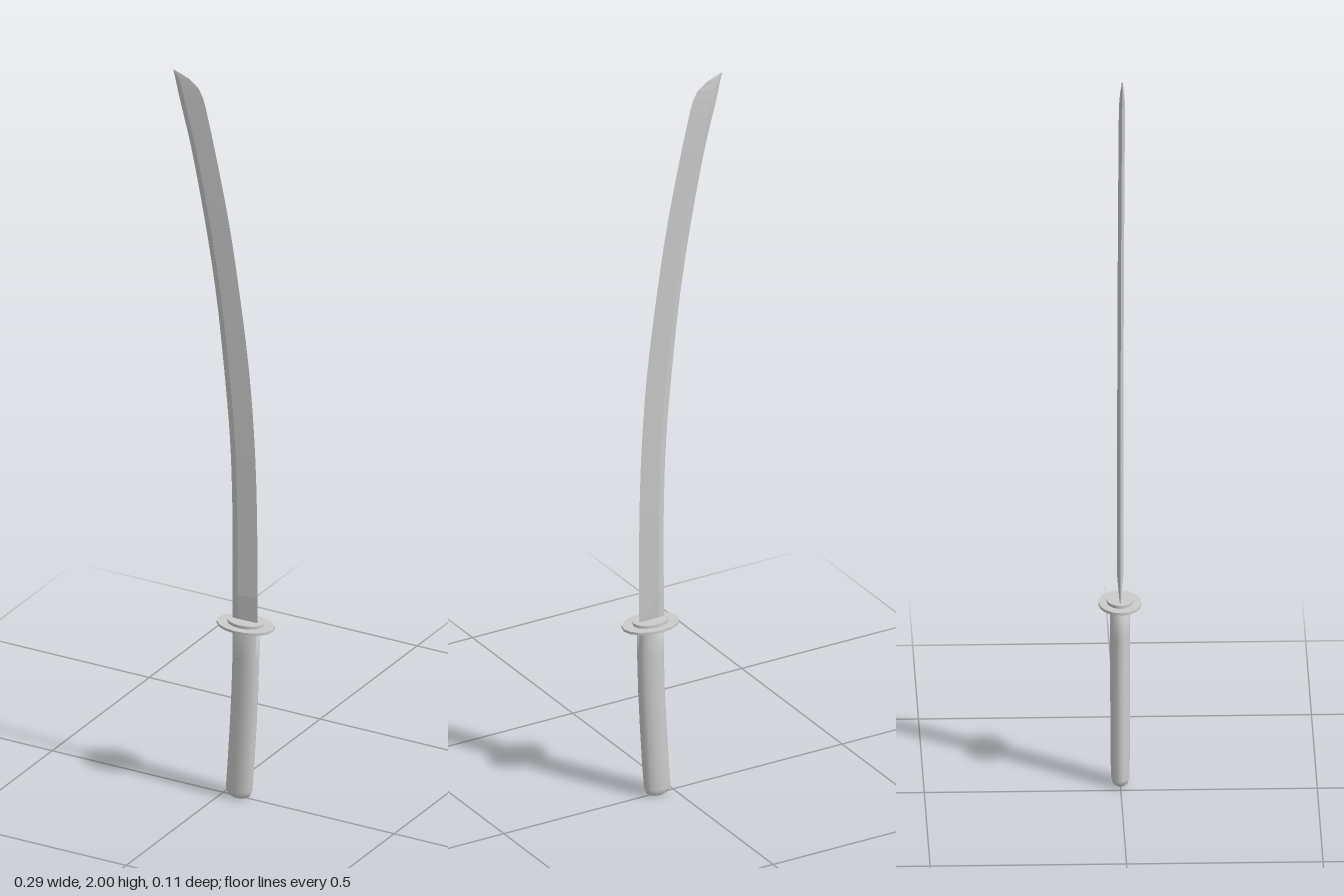
import * as THREE from 'three';

// Skin a list of rings (arrays of Vector3, counter-clockwise seen from above, bottom to top), capped at both ends.
function loft(rings) {
  const n = rings[0].length, pos = [], idx = [];
  rings.forEach(r => r.forEach(p => pos.push(p.x, p.y, p.z)));
  for (let i = 0; i < rings.length - 1; i++) {
    for (let j = 0; j < n; j++) {
      const a = i * n + j, b = i * n + (j + 1) % n;
      idx.push(a, b, b + n, a, b + n, a + n);
    }
  }
  const top = (rings.length - 1) * n;
  for (let j = 1; j < n - 1; j++) {
    idx.push(0, j + 1, j);
    idx.push(top, top + j, top + j + 1);
  }
  const g = new THREE.BufferGeometry();
  g.setAttribute('position', new THREE.Float32BufferAttribute(pos, 3));
  g.setIndex(idx);
  g.computeVertexNormals();
  return g;
}

function ellipseRing(cx, y, rx, rz, n) {
  return Array.from({ length: n }, (_, j) => {
    const a = j / n * Math.PI * 2;
    return new THREE.Vector3(cx + rx * Math.cos(a), y, -rz * Math.sin(a));
  });
}

function makeBlade() {
  // Spine x, y, cutting edge x, y along the blade
  const stations = [
    [0.027, 0.57, 0.1, 0.57], [0.027, 0.8, 0.099, 0.8], [0.02, 1.0, 0.092, 1.0],
    [0.002, 1.2, 0.076, 1.2], [-0.021, 1.4, 0.05, 1.4], [-0.054, 1.6, 0.018, 1.6],
    [-0.095, 1.8, -0.024, 1.8], [-0.121, 1.9, -0.05, 1.91],
  ];
  const curve = k => new THREE.CatmullRomCurve3(stations.map(s => new THREE.Vector3(s[k], s[k + 1], 0)));
  const spine = curve(0), edge = curve(2);
  // Diamond section with the ridge a quarter of the way from the spine
  const section = (s, e, half) => {
    const m = s.clone().lerp(e, 0.26);
    return [e, new THREE.Vector3(m.x, m.y, -half), s, new THREE.Vector3(m.x, m.y, half)];
  };
  const v = (x, y) => new THREE.Vector3(x, y, 0);
  const rings = [section(v(0.027, 0.49), v(0.1, 0.49), 0.001)];
  for (let i = 0; i <= 28; i++) rings.push(section(spine.getPoint(i / 28), edge.getPoint(i / 28), 0.008));
  // Curved point
  rings.push(section(v(-0.13, 1.935), v(-0.059, 1.94), 0.007));
  rings.push(section(v(-0.136, 1.96), v(-0.072, 1.964), 0.005));
  rings.push(section(v(-0.141, 1.983), v(-0.1, 1.985), 0.0025));
  rings.push(section(v(-0.146, 2.0), v(-0.143, 2.0), 0.0003));
  return loft(rings);
}

function makeHandle() {
  // y, left x, right x, half depth
  const rows = [
    [0, 0.026, 0.066, 0.013], [0.006, 0.016, 0.077, 0.02], [0.02, 0.01, 0.083, 0.0235],
    [0.1, 0.016, 0.089, 0.025], [0.2, 0.022, 0.095, 0.025], [0.3, 0.027, 0.1, 0.025],
    [0.4, 0.03, 0.103, 0.025], [0.48, 0.03, 0.103, 0.025],
  ];
  return loft(rows.map(([y, a, b, d]) => ellipseRing((a + b) / 2, y, (b - a) / 2, d, 16)));
}

export function createModel() {
  const group = new THREE.Group();
  const add = (name, geometry, flatShading) => {
    const mesh = new THREE.Mesh(geometry, new THREE.MeshStandardMaterial({ color: 0xcccccc, flatShading }));
    mesh.name = name;
    group.add(mesh);
  };
  // Elliptical disc centred on the blade's root
  const disc = (rx, rz, y0, y1, n) => {
    const g = new THREE.CylinderGeometry(1, 1, y1 - y0, n);
    g.rotateY(Math.PI / 2);
    g.scale(rx, 1, rz);
    return g.translate(0.066, (y0 + y1) / 2, 0);
  };

  add('blade', makeBlade(), true);
  add('guard', disc(0.079, 0.055, 0.484, 0.491, 16), false);
  add('collar', disc(0.049, 0.034, 0.475, 0.499, 32), false);
  add('handle', makeHandle(), false);
  return group;
}
